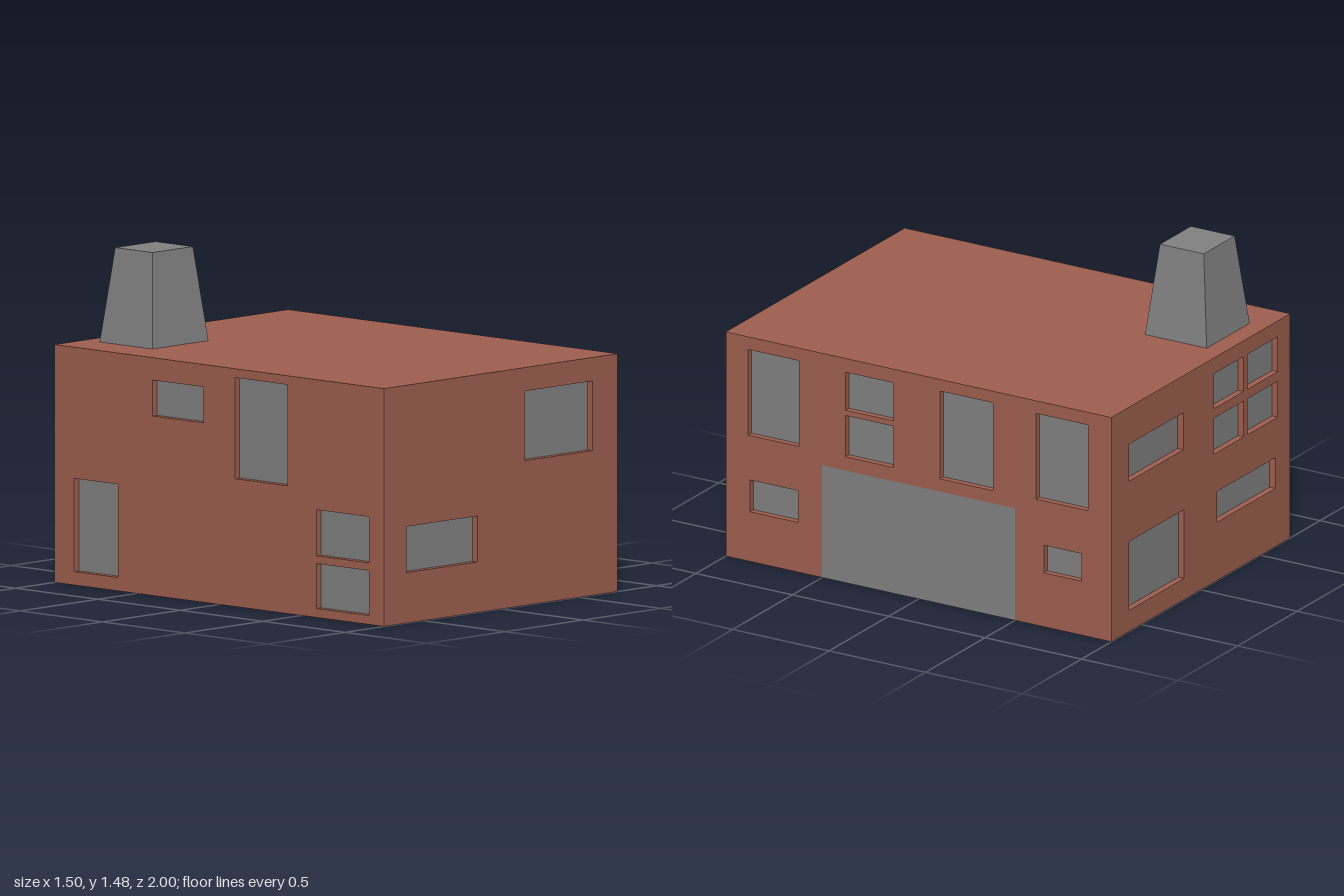
import * as THREE from 'three';
import { mergeGeometries } from 'three/addons/utils/BufferGeometryUtils.js';

const W = 1.5, H = 1.06, L = 2, RECESS = 0.03;

const brick = new THREE.MeshStandardMaterial({ color: 0xa06050 });
brick.name = 'brick';
const grey = new THREE.MeshStandardMaterial({ color: 0x828282 });
grey.name = 'grey';

function addMesh(parent, name, geometry, material) {
  const mesh = new THREE.Mesh(geometry, material);
  mesh.name = name;
  parent.add(mesh);
  return mesh;
}

// Four inward-facing strips lining a window opening
function reveal([u0, u1, v0, v1]) {
  const w = u1 - u0, h = v1 - v0, cu = (u0 + u1) / 2, cv = (v0 + v1) / 2, z = -RECESS / 2;
  return [
    new THREE.PlaneGeometry(w, RECESS).rotateX(Math.PI / 2).translate(cu, v1, z),
    new THREE.PlaneGeometry(w, RECESS).rotateX(-Math.PI / 2).translate(cu, v0, z),
    new THREE.PlaneGeometry(RECESS, h).rotateY(Math.PI / 2).translate(u0, cv, z),
    new THREE.PlaneGeometry(RECESS, h).rotateY(-Math.PI / 2).translate(u1, cv, z),
  ];
}

// A wall facing local +z with recessed windows [left, right, bottom, top] and an optional flush gate
function makeWall(name, width, windows, gate) {
  const wall = new THREE.Group();
  wall.name = name;
  const outline = [[-width / 2, 0]];
  if (gate) outline.push([gate[0], 0], [gate[0], gate[3]], [gate[1], gate[3]], [gate[1], 0]);
  outline.push([width / 2, 0], [width / 2, H], [-width / 2, H]);
  const shape = new THREE.Shape(outline.map(([u, v]) => new THREE.Vector2(u, v)));
  for (const [u0, u1, v0, v1] of windows) {
    shape.holes.push(new THREE.Path([[u0, v0], [u0, v1], [u1, v1], [u1, v0]]
      .map(([u, v]) => new THREE.Vector2(u, v))));
  }
  addMesh(wall, 'wallFace', new THREE.ShapeGeometry(shape), brick);
  addMesh(wall, 'windowReveals', mergeGeometries(windows.flatMap(reveal)), brick);
  const pane = ([u0, u1, v0, v1], z) =>
    new THREE.PlaneGeometry(u1 - u0, v1 - v0).translate((u0 + u1) / 2, (v0 + v1) / 2, z);
  addMesh(wall, 'windowPanes', mergeGeometries(windows.map((r) => pane(r, -RECESS))), grey);
  if (gate) addMesh(wall, 'garageDoor', pane(gate, 0), grey);
  return wall;
}

export function createModel() {
  const model = new THREE.Group();
  model.name = 'house';

  const front = makeWall('frontWall', W, [
    [0.155, 0.59, 0.645, 0.955],
    [-0.605, -0.15, 0.225, 0.43],
  ]);
  front.position.z = L / 2;

  // Long wall on +x, with the garage door (local u runs along -z)
  const garageSide = makeWall('garageWall', L, [
    [-0.885, -0.62, 0.595, 1.0],
    [-0.38, -0.13, 0.815, 0.995],
    [-0.38, -0.13, 0.595, 0.79],
    [0.11, 0.385, 0.59, 1.005],
    [0.61, 0.88, 0.595, 1.0],
    [-0.875, -0.625, 0.235, 0.385],
    [0.65, 0.845, 0.255, 0.385],
  ], [-0.5, 0.5, 0, 0.53]);
  garageSide.rotation.y = Math.PI / 2;
  garageSide.position.x = W / 2;

  // Back wall (local u runs along -x)
  const back = makeWall('backWall', W, [
    [-0.60, -0.145, 0.71, 0.885],
    [-0.60, -0.14, 0.10, 0.425],
    [0.11, 0.36, 0.82, 0.985],
    [0.39, 0.645, 0.82, 0.985],
    [0.11, 0.36, 0.605, 0.775],
    [0.39, 0.645, 0.605, 0.775],
    [0.135, 0.625, 0.275, 0.42],
  ]);
  back.rotation.y = Math.PI;
  back.position.z = -L / 2;

  // Long wall on -x, with the side door (local u runs along +z)
  const doorSide = makeWall('doorWall', L, [
    [-0.88, -0.615, 0.06, 0.475],
    [-0.405, -0.095, 0.80, 0.96],
    [0.095, 0.415, 0.57, 1.02],
    [0.59, 0.91, 0.275, 0.48],
    [0.59, 0.91, 0.04, 0.24],
  ]);
  doorSide.rotation.y = -Math.PI / 2;
  doorSide.position.x = -W / 2;
  model.add(front, garageSide, back, doorSide);

  // Flat roof and floor
  addMesh(model, 'roof', new THREE.PlaneGeometry(W, L).rotateX(-Math.PI / 2).translate(0, H, 0), brick);
  addMesh(model, 'floor', new THREE.PlaneGeometry(W, L).rotateX(Math.PI / 2), brick);

  // Tapered chimney: a box with its top corners drawn inwards
  const chimney = new THREE.BoxGeometry(0.36, 0.42, 0.32);
  const p = chimney.attributes.position;
  for (let i = 0; i < p.count; i++) {
    if (p.getY(i) > 0) p.setXYZ(i, p.getX(i) * 0.72, p.getY(i), p.getZ(i) * 0.71);
  }
  chimney.computeVertexNormals();
  addMesh(model, 'chimney', chimney, grey).position.set(-0.375, H + 0.21, -0.75);

  return model;
}
